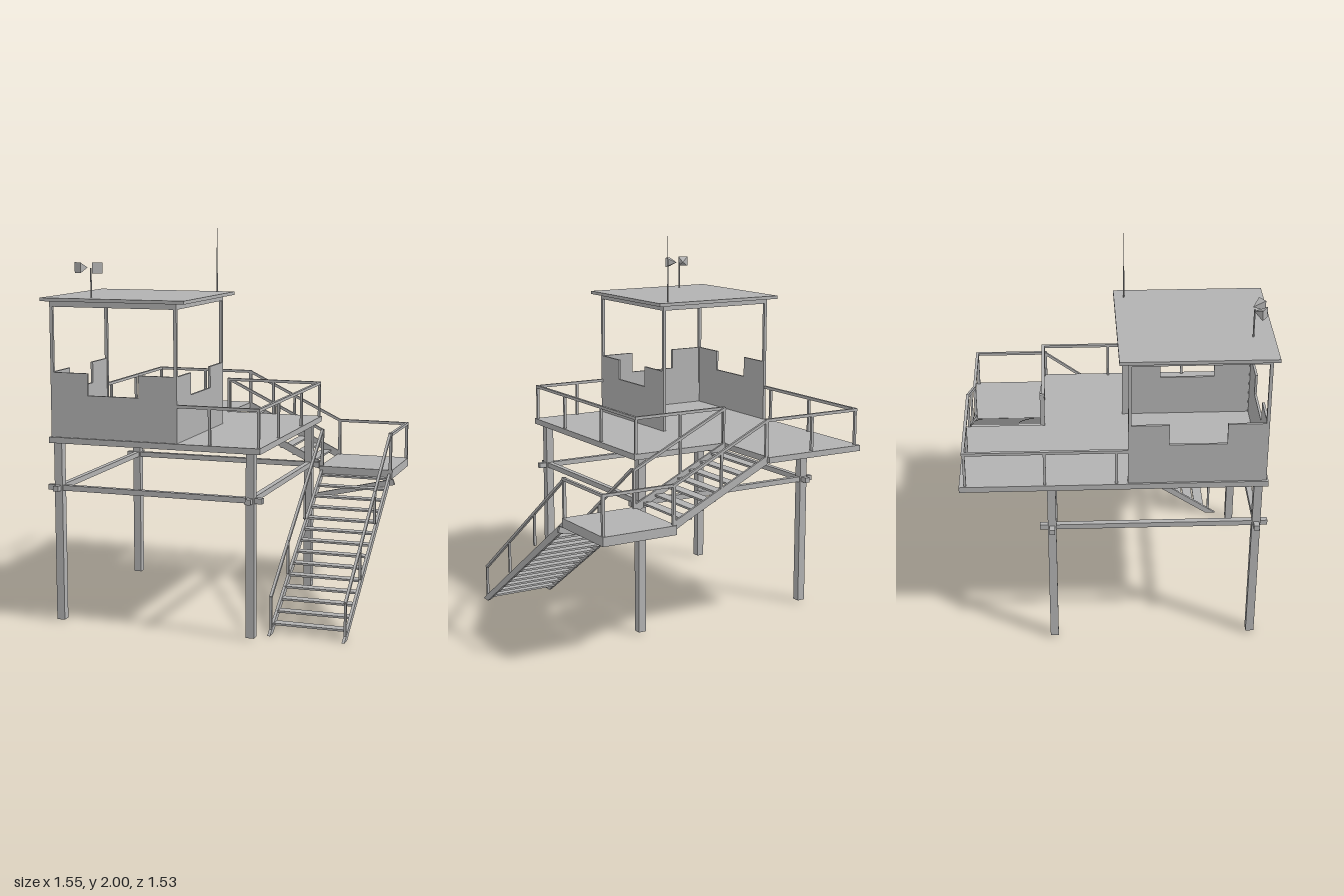
import * as THREE from 'three';

export function createModel() {
  const model = new THREE.Group();
  model.name = 'watchTower';
  const grey = new THREE.MeshStandardMaterial({ color: 0xb2b2b2 });
  grey.name = 'plain grey';

  const add = (geo, name, parent = model) => {
    const m = new THREE.Mesh(geo, grey);
    m.name = name;
    parent.add(m);
    return m;
  };
  const group = (name) => {
    const g = new THREE.Group();
    g.name = name;
    model.add(g);
    return g;
  };
  // Box from its minimum and maximum corners
  const box = (name, x0, x1, y0, y1, z0, z1, parent) => {
    const m = add(new THREE.BoxGeometry(x1 - x0, y1 - y0, z1 - z0), name, parent);
    m.position.set((x0 + x1) / 2, (y0 + y1) / 2, (z0 + z1) / 2);
    return m;
  };
  // Square bar between two points
  const bar = (name, a, b, w, parent) => {
    const p = new THREE.Vector3(...a), q = new THREE.Vector3(...b);
    const m = add(new THREE.BoxGeometry(w, w, p.distanceTo(q) + w * 0.8), name, parent);
    m.position.copy(p).add(q).multiplyScalar(0.5);
    m.lookAt(q);
    return m;
  };
  const extrude = (pts, depth) => {
    const shape = new THREE.Shape(pts.map(([x, y]) => new THREE.Vector2(x, y)));
    return new THREE.ExtrudeGeometry(shape, { depth, bevelEnabled: false });
  };

  // Deck with a stairwell notch in the back left corner
  const deckGeo = extrude([[-0.75, -0.75], [0.355, -0.75], [0.355, 0.36], [-0.18, 0.36],
    [-0.18, 0.765], [-0.75, 0.765]], 0.03);
  deckGeo.rotateX(-Math.PI / 2);
  add(deckGeo, 'deck').position.y = 0.925;

  // Legs and the tie beams passing through them
  const frame = group('legFrame');
  const legX = [-0.715, 0.297], legZ = [0.703, -0.315];
  for (const x of legX) {
    for (const z of legZ) box('leg', x - 0.021, x + 0.021, 0.01, 0.93, z - 0.021, z + 0.021, frame);
    box('sideTieBeam', x - 0.014, x + 0.014, 0.68, 0.707, -0.375, 0.76, frame);
  }
  for (const z of legZ) box('crossTieBeam', -0.775, 0.357, 0.679, 0.706, z - 0.014, z + 0.014, frame);

  // Cabin: three notched parapet walls, corner posts, header beams and roof
  const cabin = group('cabin');
  const x0 = -0.74, x1 = -0.07, z0 = 0.06, z1 = 0.74, base = 0.955, t = 0.012;
  const notched = (a, b) => extrude([[a, base], [b, base], [b, 1.28], [b - 0.2, 1.28],
    [b - 0.2, 1.17], [a + 0.2, 1.17], [a + 0.2, 1.28], [a, 1.28]], t);
  add(notched(x0, x1), 'frontWall', cabin).position.z = z1 - t;
  for (const x of [x0, x1 - t]) {
    const wall = add(notched(-z1, -z0), 'sideWall', cabin);
    wall.rotation.y = Math.PI / 2;
    wall.position.x = x;
  }
  for (const x of [x0 + 0.008, x1 - 0.008]) {
    for (const z of [z0 + 0.008, z1 - 0.008]) {
      box('cornerPost', x - 0.008, x + 0.008, base, 1.635, z - 0.008, z + 0.008, cabin);
    }
    box('sideHeader', x - 0.008, x + 0.008, 1.605, 1.635, z0, z1, cabin);
  }
  for (const z of [z0 + 0.008, z1 - 0.008]) {
    box('crossHeader', x0, x1, 1.605, 1.635, z - 0.008, z + 0.008, cabin);
  }
  box('roof', -0.778, -0.022, 1.633, 1.65, 0.015, 0.767, cabin);

  // Antenna and a pole with two horn speakers
  const antenna = add(new THREE.CylinderGeometry(0.0008, 0.004, 0.35, 6), 'antenna');
  antenna.position.set(-0.1, 1.825, 0.065);
  const pole = add(new THREE.CylinderGeometry(0.004, 0.004, 0.15, 8), 'speakerPole');
  pole.position.set(-0.547, 1.72, 0.665);
  for (const s of [-1, 1]) {
    const geo = new THREE.ConeGeometry(0.037, 0.058, 4, 1).toNonIndexed();
    geo.rotateY(Math.PI / 4);
    geo.rotateX(-Math.PI / 2);
    geo.computeVertexNormals();
    const horn = add(geo, 'hornSpeaker');
    horn.rotation.y = s * 0.57;
    horn.position.set(-0.546 + s * 0.037, 1.797, 0.683);
  }

  // Deck railings: a top rail along each path with posts at given points
  const rails = group('deckRailing');
  const top = 1.137, w = 0.015;
  const rail = (a, b, posts) => {
    bar('topRail', [a[0], top, a[1]], [b[0], top, b[1]], w, rails);
    for (const f of posts) {
      const x = a[0] + (b[0] - a[0]) * f, z = a[1] + (b[1] - a[1]) * f;
      bar('railPost', [x, 0.955, z], [x, top, z], 0.013, rails);
    }
  };
  rail([-0.07, 0.733], [0.343, 0.733], [0.4, 1]);
  rail([0.343, 0.733], [0.343, -0.35], [0.3, 0.675, 1]);
  rail([-0.735, 0.06], [-0.735, -0.735], [0.07, 0.51, 1]);
  rail([-0.735, -0.738], [-0.18, -0.738], [0.5, 1]);
  rail([0.343, -0.352], [-0.18, -0.352], [0.5, 1]);

  // Landing with its railing and diagonal prop
  const landing = group('landing');
  box('landingFloor', 0.35, 0.757, 0.633, 0.68, -0.752, -0.34, landing);
  const lr = 0.876;
  bar('backRail', [0.36, lr, -0.738], [0.748, lr, -0.738], w, landing);
  bar('sideRail', [0.748, lr, -0.738], [0.748, lr, -0.345], w, landing);
  for (const [x, z] of [[0.36, -0.738], [0.748, -0.738], [0.745, -0.345], [0.36, -0.362]]) {
    bar('landingPost', [x, 0.65, z], [x, lr, z], w, landing);
  }
  const prop = extrude([[0.315, 0.5], [0.775, 0.605], [0.765, 0.635], [0.315, 0.527]], 0.016);
  add(prop, 'diagonalProp', landing).position.z = -0.335;

  // Upper stairs, going down towards the left side
  const upper = group('upperStairs');
  for (let i = 0; i < 7; i++) {
    const x = -0.123 + i * 0.0675, y = 0.908 - i * 0.035;
    box('tread', x - 0.028, x + 0.028, y - 0.005, y + 0.005, -0.735, -0.365, upper);
  }
  for (const z of [-0.745, -0.369]) {
    add(extrude([[-0.2, 0.927], [0.28, 0.695], [0.357, 0.655], [0.357, 0.7], [-0.17, 0.955]], 0.012),
      'stringer', upper).position.z = z;
    const rz = z + 0.006;
    bar('handrail', [-0.18, top, rz], [0.36, lr, rz], 0.014, upper);
    bar('handrailPost', [0.088, 0.83, rz], [0.088, 1.005, rz], 0.012, upper);
    bar('handrailPost', [-0.175, 0.945, rz], [-0.175, top, rz], 0.012, upper);
  }

  // Lower stairs, going down towards the front
  const lower = group('lowerStairs');
  for (let i = 0; i < 14; i++) {
    const z = 0.536 - i * 0.0668, y = 0.043 + i * 0.0455;
    box('tread', 0.365, 0.74, y - 0.005, y + 0.005, z - 0.026, z + 0.026, lower);
  }
  for (const x of [0.356, 0.734]) {
    const stringer = add(extrude([[-0.63, 0], [-0.575, 0], [0.335, 0.615], [0.335, 0.66]], 0.014),
      'stringer', lower);
    stringer.rotation.y = Math.PI / 2;
    stringer.position.x = x;
    const rx = x + 0.007;
    bar('handrail', [rx, 0.19, 0.588], [rx, lr, -0.345], 0.014, lower);
    for (const z of [0.588, 0.298, -0.005]) {
      const y = 0.19 + (0.588 - z) * 0.735;
      bar('handrailPost', [rx, y - 0.165, z], [rx, y, z], 0.012, lower);
    }
  }
  return model;
}
